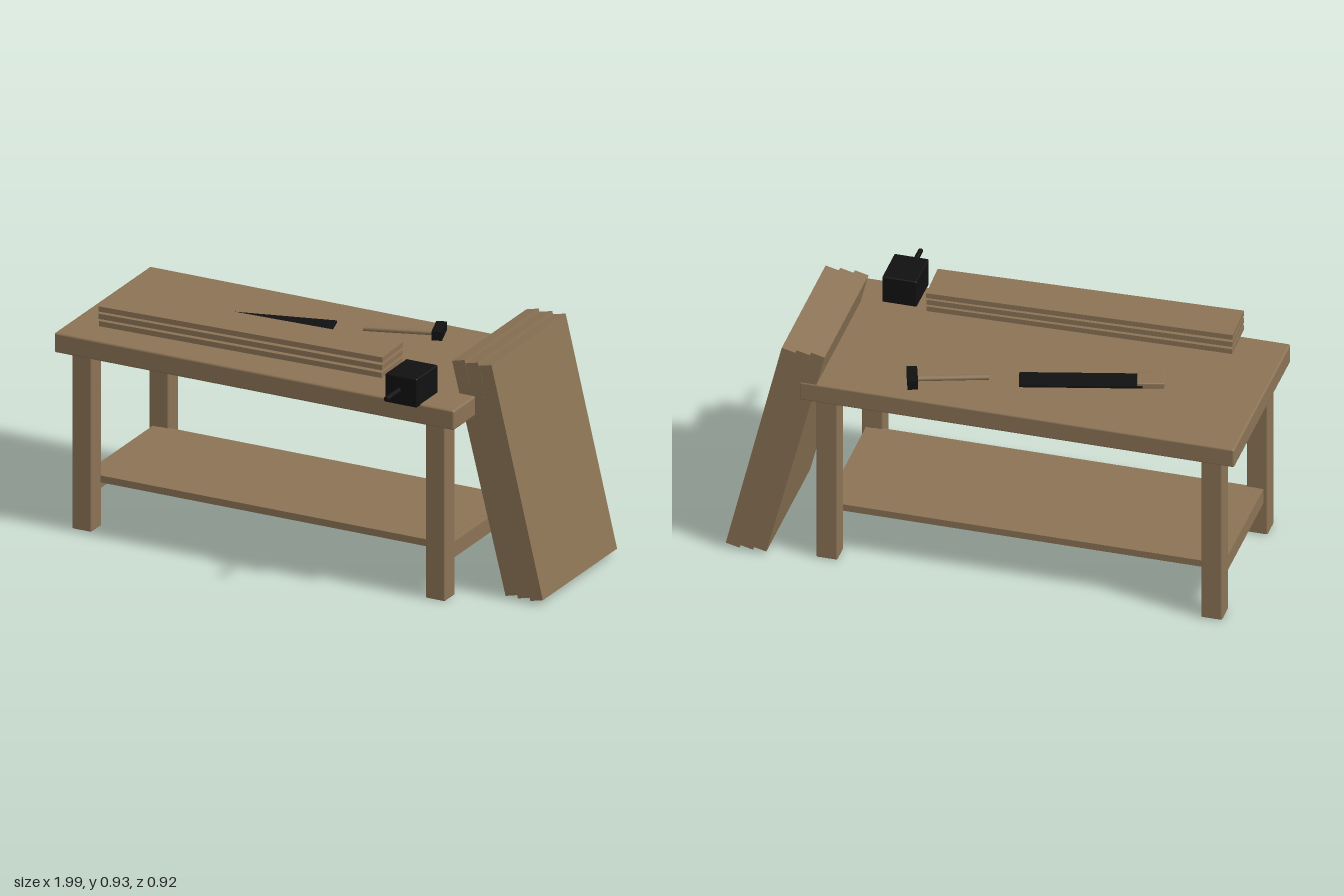
import * as THREE from 'three';
import { RoundedBoxGeometry } from 'three/addons/geometries/RoundedBoxGeometry.js';

export function createModel() {
  const model = new THREE.Group();
  model.name = 'workbench';
  const wood = new THREE.MeshStandardMaterial({ color: 0x8b7355 });
  wood.name = 'wood';
  const iron = new THREE.MeshStandardMaterial({ color: 0x111111 });
  iron.name = 'blackIron';

  function add(parent, name, geometry, material, x, y, z) {
    const mesh = new THREE.Mesh(geometry, material);
    mesh.name = name;
    mesh.position.set(x, y, z);
    parent.add(mesh);
    return mesh;
  }
  const box = (w, h, d) => new THREE.BoxGeometry(w, h, d);
  const soft = (w, h, d, r = 0.008) => new RoundedBoxGeometry(w, h, d, 2, r);
  function subgroup(name, x, y, z, turn) {
    const group = new THREE.Group();
    group.name = name;
    group.position.set(x, y, z);
    group.rotation.y = turn;
    model.add(group);
    return group;
  }

  // Bench: top, four legs, side rails and lower shelf
  const bench = subgroup('bench', -0.1475, 0, -0.073, 0);
  add(bench, 'benchTop', soft(1.705, 0.08, 0.77), wood, 0, 0.755, 0);
  for (const sx of [-1, 1]) {
    for (const sz of [-1, 1]) {
      add(bench, 'leg', soft(0.083, 0.718, 0.083, 0.006), wood, sx * 0.754, 0.359, sz * 0.309);
    }
    add(bench, 'sideRail', box(0.05, 0.064, 0.54), wood, sx * 0.754, 0.171, 0);
  }
  add(bench, 'shelf', box(1.5, 0.028, 0.55), wood, 0, 0.19, 0);

  // Stack of planks, each turned a touch differently
  [0.027, 0.03, 0.034].forEach((turn, i) => {
    const plank = add(model, 'plank', box(1.19, 0.021, 0.176), wood, -0.232, 0.855 + i * 0.0305, 0.18);
    plank.rotation.y = turn;
  });

  // Thick panels leaning on the bench end
  [0.246, 0.241, 0.236].forEach((lean, i) => {
    const panel = add(model, 'leaningPanel', box(0.055, 0.938, 0.596), wood, 0.747 + i * 0.055, 0.472, -0.157);
    panel.rotation.z = lean;
  });

  // Vise with its handle
  add(model, 'viseBody', soft(0.135, 0.116, 0.17, 0.005), iron, 0.493, 0.847, 0.2525);
  const bar = add(model, 'viseHandle', new THREE.CylinderGeometry(0.01, 0.01, 0.102, 12), iron, 0.493, 0.855, 0.407);
  bar.rotation.x = Math.PI / 2;

  // Hand saw
  const saw = subgroup('handSaw', -0.315, 0.795, -0.165, 0.26);
  add(saw, 'sawBlade', box(0.466, 0.008, 0.093), iron, 0, 0.009, 0);
  add(saw, 'sawHandle', soft(0.105, 0.024, 0.082, 0.005), wood, -0.264, 0.0125, 0);

  // Hammer
  const hammer = subgroup('hammer', 0.155, 0.795, -0.29, 0.32);
  const grip = add(hammer, 'hammerHandle', new THREE.CylinderGeometry(0.011, 0.011, 0.28, 10), wood, 0, 0.014, 0);
  grip.rotation.z = Math.PI / 2;
  add(hammer, 'hammerHead', box(0.04, 0.036, 0.11), iron, 0.149, 0.02, -0.004);

  return model;
}
